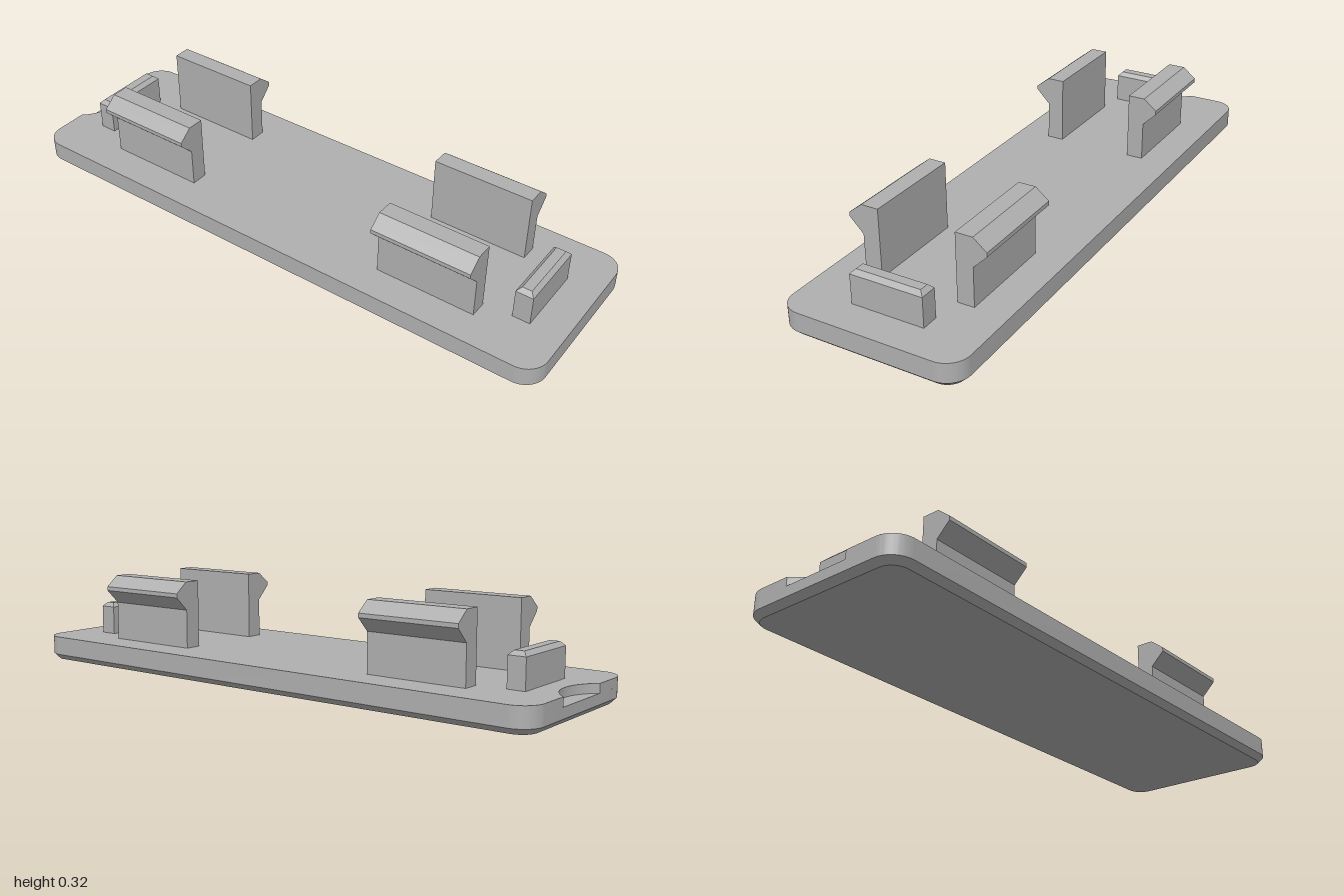
import * as THREE from 'three';
import { mergeGeometries, toCreasedNormals } from 'three/addons/utils/BufferGeometryUtils.js';

const TOP = 0.085, FLOOR = 0.055, CHAMFER = 0.02;
const NOTCH = { x: -1.103, r: 0.158, a: 0.86 };

// Rounded plate outline, optionally with a finger notch in the -x edge.
function plateOutline(inset, notched) {
  const s = new THREE.Shape(), r = 0.075, cx = 1 - r, cz = 0.306 - r, q = Math.PI / 2;
  s.absarc(cx, cz, r - inset, 0, q);
  s.absarc(-cx, cz, r - inset, q, 2 * q);
  if (notched) s.absarc(NOTCH.x, 0, NOTCH.r, NOTCH.a, -NOTCH.a, true);
  s.absarc(-cx, -cz, r - inset, 2 * q, 3 * q);
  s.absarc(cx, -cz, r - inset, 3 * q, 4 * q);
  return s.getPoints(12);
}

function rectOutline(w, d) {
  return [[1, 1], [-1, 1], [-1, -1], [1, -1]].map(([x, z]) => new THREE.Vector2(x * w / 2, z * d / 2));
}

// Wall joining two matching outlines at two heights.
function band(lower, y0, upper, y1) {
  const pos = [];
  lower.forEach((p, i) => {
    const j = (i + 1) % lower.length;
    const a = [p.x, y0, -p.y], b = [lower[j].x, y0, -lower[j].y];
    const c = [upper[j].x, y1, -upper[j].y], d = [upper[i].x, y1, -upper[i].y];
    pos.push(...a, ...b, ...c, ...a, ...c, ...d);
  });
  const g = new THREE.BufferGeometry();
  g.setAttribute('position', new THREE.Float32BufferAttribute(pos, 3));
  return g;
}

// Flat face filling an outline, facing up or down.
function cap(points, y, up = true) {
  const g = new THREE.ShapeGeometry(new THREE.Shape(points)).toNonIndexed();
  g.deleteAttribute('uv');
  g.deleteAttribute('normal');
  return g.rotateX(up ? -Math.PI / 2 : Math.PI / 2).translate(0, y, 0);
}

const join = (parts) => toCreasedNormals(mergeGeometries(parts), 0.5);

function plateGeometry() {
  const base = plateOutline(CHAMFER, false), full = plateOutline(0, false), cut = plateOutline(0, true);
  // Notch floor: arc segment closed by the straight plate edge.
  const edge = Math.sqrt(NOTCH.r ** 2 - (-1 - NOTCH.x) ** 2);
  const a = Math.atan2(edge, -1 - NOTCH.x);
  const floor = new THREE.Shape().absarc(NOTCH.x, 0, NOTCH.r, -a, a).getPoints(12);
  return join([
    cap(base, 0, false),
    band(base, 0, full, CHAMFER),
    band(full, CHAMFER, full, FLOOR),
    cap(floor, FLOOR),
    band(cut, FLOOR, cut, TOP),
    cap(cut, TOP),
  ]);
}

// Snap clip: hooked profile in (z, y), extruded along x.
function clipGeometry() {
  const profile = [[0.133, TOP], [0.191, TOP], [0.191, 0.218], [0.238, 0.265],
    [0.238, 0.279], [0.192, 0.316], [0.133, 0.316]];
  const shape = new THREE.Shape(profile.map(([z, y]) => new THREE.Vector2(z, y)));
  const g = new THREE.ExtrudeGeometry(shape, { depth: 0.348, bevelEnabled: false });
  return g.translate(0, 0, -0.174).rotateY(-Math.PI / 2);
}

// End tab: upright block with a chamfered top.
function tabGeometry() {
  const body = rectOutline(0.06, 0.25), top = rectOutline(0.032, 0.222);
  return join([
    band(body, TOP, body, 0.185),
    band(body, 0.185, top, 0.199),
    cap(top, 0.199),
  ]);
}

export function createModel() {
  const group = new THREE.Group();
  group.name = 'clipOnCover';
  const grey = new THREE.MeshStandardMaterial({ color: 0xb0b0b0 });
  grey.name = 'grey plastic';

  const add = (geometry, name, x = 0, turn = 0) => {
    const mesh = new THREE.Mesh(geometry, grey);
    mesh.name = name;
    mesh.position.x = x;
    mesh.rotation.y = turn;
    group.add(mesh);
  };

  add(plateGeometry(), 'coverPlate');
  const clip = clipGeometry(), tab = tabGeometry();
  for (const side of [1, -1]) {
    const label = side > 0 ? 'Left' : 'Right';
    add(clip, 'frontClip' + label, side * 0.555);
    add(clip, 'backClip' + label, side * 0.555, Math.PI);
    add(tab, 'endTab' + label, side * 0.855);
  }
  return group;
}
